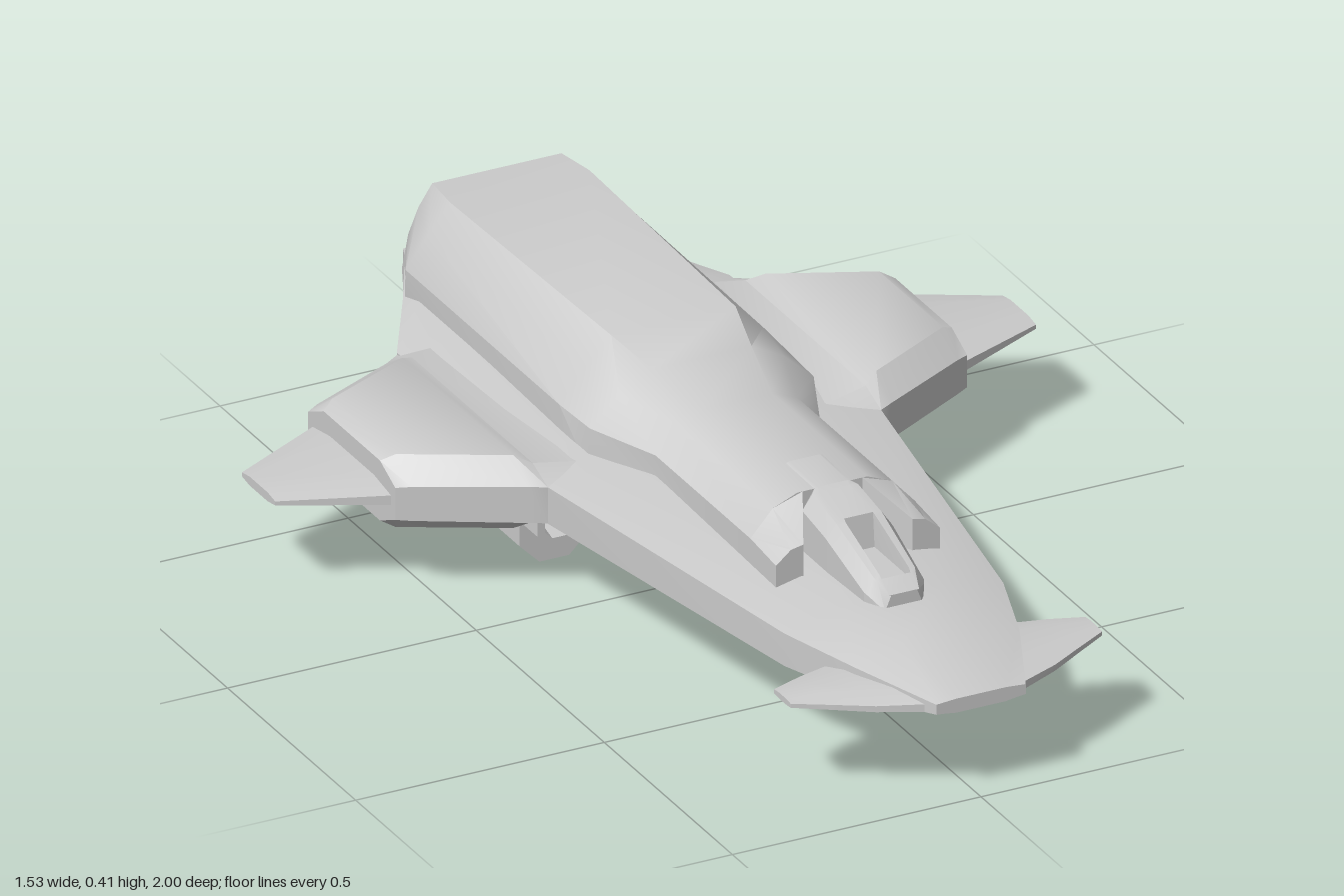
import * as THREE from 'three';
import { toCreasedNormals } from 'three/addons/utils/BufferGeometryUtils.js';

const material = new THREE.MeshStandardMaterial({ color: 0xcccccc });

// Closed skin through rings of [x, y, z] points, capped at both ends and wound outward.
function loft(name, rings, crease = 0.6) {
  const n = rings[0].length, tris = [];
  const centre = (r) => [0, 1, 2].map((k) => r.reduce((s, p) => s + p[k], 0) / n);
  const first = rings[0], last = rings[rings.length - 1];
  const c0 = centre(first), c1 = centre(last);
  for (let j = 0; j < n; j++) {
    const k = (j + 1) % n;
    for (let i = 0; i < rings.length - 1; i++) {
      const a = rings[i], b = rings[i + 1];
      tris.push([a[j], b[j], b[k]], [a[j], b[k], a[k]]);
    }
    tris.push([c0, first[j], first[k]], [c1, last[k], last[j]]);
  }
  const v = (p) => new THREE.Vector3(...p);
  const volume = tris.reduce((s, [a, b, c]) => s + v(a).dot(v(b).cross(v(c))), 0);
  if (volume < 0) tris.forEach((t) => t.reverse());
  const geo = new THREE.BufferGeometry();
  geo.setAttribute('position', new THREE.Float32BufferAttribute(tris.flat(2), 3));
  const mesh = new THREE.Mesh(toCreasedNormals(geo, crease), material);
  mesh.name = name;
  return mesh;
}

// Symmetric ring at z from right-hand points [x, y, zOffset], listed top to bottom.
const ring = (z, half) => [
  ...half.map(([x, y, dz = 0]) => [x, y, z + dz]),
  ...half.map(([x, y, dz = 0]) => [-x, y, z + dz]).reverse(),
];

const flip = (rings, s) => rings.map((r) => r.map(([x, y, z]) => [x * s, y, z]));

// Chamfered wing section at x: front z, rear z, edge and middle half-thickness, chamfer length.
const wingRing = (x, zf, zr, edge, mid, chamfer, y = 0.194) => [
  [x, y + edge, zf], [x, y + mid, zf - chamfer], [x, y + mid, zr + chamfer], [x, y + edge, zr],
  [x, y - edge, zr], [x, y - mid, zr + chamfer], [x, y - mid, zf - chamfer], [x, y - edge, zf],
];

// Pod section: chamfered lower corners, between two x values.
const podRing = (z, x0, x1, y0, y1, c) => [
  [x0, y1, z], [x1, y1, z], [x1, y0 + c, z], [x1 - c, y0, z], [x0 + c, y0, z], [x0, y0 + c, z],
];

export function createModel() {
  const ship = new THREE.Group();
  ship.name = 'spacecraft';

  // Hull, nose to tail, ending in a recessed exhaust
  ship.add(loft('hull', [
    ring(1.0, [[0.05, 0.208], [0.09, 0.205], [0.09, 0.185], [0.07, 0.183], [0.05, 0.18]]),
    ring(0.83, [[0.07, 0.25], [0.165, 0.22], [0.165, 0.165], [0.12, 0.14], [0.09, 0.133]]),
    ring(0.66, [[0.1, 0.252], [0.22, 0.225], [0.22, 0.16], [0.16, 0.138], [0.1, 0.132]]),
    ring(-0.04, [[0.18, 0.255], [0.335, 0.23], [0.335, 0.157], [0.19, 0.135], [0.1, 0.13]]),
    ring(-0.15, [[0.19, 0.26], [0.335, 0.23], [0.335, 0.157], [0.17, 0.12], [0.08, 0.11]]),
    ring(-0.55, [[0.2, 0.27], [0.335, 0.235], [0.335, 0.157], [0.145, 0.1], [0.07, 0.012]]),
    ring(-0.63, [[0.2, 0.27], [0.335, 0.235], [0.335, 0.157], [0.145, 0.1], [0.07, 0.03]]),
    ring(-0.8, [[0.18, 0.275], [0.235, 0.245], [0.235, 0.16], [0.14, 0.115], [0.08, 0.08]]),
    ring(-0.93, [[0.13, 0.272], [0.165, 0.245], [0.165, 0.16], [0.13, 0.13], [0.1, 0.12]]),
    ring(-0.96, [[0.115, 0.252], [0.15, 0.235], [0.15, 0.16], [0.13, 0.145], [0.11, 0.138]]),
    ring(-0.96, [[0.1, 0.235], [0.115, 0.228], [0.115, 0.168], [0.11, 0.16], [0.1, 0.155]]),
    ring(-0.9, [[0.1, 0.235], [0.115, 0.228], [0.115, 0.168], [0.11, 0.16], [0.1, 0.155]]),
  ]));

  // Raised upper fuselage
  ship.add(loft('upperFuselage', [
    ring(0.42, [[0.07, 0.365], [0.12, 0.345], [0.165, 0.295], [0.165, 0.22]]),
    ring(0.05, [[0.07, 0.365], [0.12, 0.345], [0.165, 0.295], [0.165, 0.22]]),
    ring(-0.09, [[0.1, 0.39], [0.165, 0.355], [0.225, 0.3], [0.23, 0.22]]),
    ring(-0.2, [[0.125, 0.414], [0.18, 0.36], [0.23, 0.3], [0.232, 0.22]]),
    ring(-0.8, [[0.14, 0.414], [0.185, 0.36], [0.23, 0.3], [0.232, 0.22]]),
    ring(-0.89, [[0.13, 0.41], [0.15, 0.36, -0.015], [0.16, 0.3, -0.035], [0.16, 0.22, -0.06]]),
  ]));

  // Canopy with a sunken cockpit slot: [z, width, top, slot floor]
  const canopy = [
    [0.7, 0.038, 0.275, 0.275], [0.67, 0.055, 0.295, 0.295], [0.66, 0.06, 0.3, 0.283],
    [0.53, 0.066, 0.345, 0.283], [0.52, 0.066, 0.348, 0.348], [0.43, 0.066, 0.362, 0.362],
    [0.42, 0.052, 0.367, 0.367], [0.31, 0.052, 0.369, 0.369],
  ];
  ship.add(loft('canopy', canopy.map(([z, w, top, floor]) => ring(z, [
    [0.028, floor], [0.03, top], [w * 0.7, top - 0.002], [w, top - 0.03], [w, 0.22],
  ])), 0.4));

  // Rib on the rear of the fuselage
  ship.add(loft('tailRib', [
    ring(-0.87, [[0.035, 0.365], [0.035, 0.25]]),
    ring(-0.92, [[0.035, 0.355], [0.035, 0.25, -0.025]]),
  ], 0.3));

  // Upright vanes across the exhaust
  for (let i = -2; i <= 2; i++) {
    const vane = new THREE.Mesh(new THREE.BoxGeometry(0.012, 0.08, 0.05), material);
    vane.name = 'exhaustVane';
    vane.position.set(i * 0.038, 0.195, -0.925);
    ship.add(vane);
  }

  for (const s of [1, -1]) {
    const side = new THREE.Group();
    side.name = s > 0 ? 'leftSide' : 'rightSide';
    const add = (name, rings, crease) => side.add(loft(name, flip(rings, s), crease));

    // Fuselage cheek beside the canopy
    add('cheek', [
      [[0.11, 0.315, 0.52], [0.135, 0.31, 0.52], [0.165, 0.285, 0.52], [0.165, 0.22, 0.52], [0.11, 0.22, 0.52]],
      [[0.06, 0.365, 0.42], [0.12, 0.345, 0.42], [0.165, 0.295, 0.42], [0.165, 0.22, 0.42], [0.06, 0.22, 0.42]],
    ]);

    // Thick inner wing and thin outer wing
    add('innerWing', [
      wingRing(0.24, -0.02, -0.68, 0.03, 0.05, 0.06),
      wingRing(0.335, -0.04, -0.63, 0.036, 0.058, 0.06),
      wingRing(0.365, -0.057, -0.61, 0.036, 0.073, 0.06),
      wingRing(0.55, -0.157, -0.525, 0.034, 0.073, 0.06),
      wingRing(0.575, -0.17, -0.51, 0.032, 0.06, 0.06),
    ], 0.5);
    add('outerWing', [
      wingRing(0.56, -0.18, -0.5, 0.01, 0.022, 0.07),
      wingRing(0.765, -0.27, -0.4, 0.004, 0.009, 0.03),
    ], 0.3);

    // Small nose fin
    add('noseFin', [
      wingRing(0.08, 0.985, 0.7, 0.008, 0.02, 0.06, 0.19),
      wingRing(0.18, 0.94, 0.755, 0.006, 0.016, 0.05, 0.19),
      wingRing(0.25, 0.9, 0.775, 0.005, 0.012, 0.04, 0.192),
      wingRing(0.313, 0.865, 0.8, 0.004, 0.006, 0.02, 0.194),
    ], 0.3);

    // Engine pod with a stepped, hollow intake
    add('enginePod', [
      podRing(-0.21, 0.21, 0.28, 0.08, 0.12, 0.01),
      podRing(-0.13, 0.195, 0.295, 0.075, 0.14, 0.015),
      podRing(-0.13, 0.18, 0.31, 0.065, 0.15, 0.02),
      podRing(-0.19, 0.175, 0.315, 0.055, 0.15, 0.035),
      podRing(-0.19, 0.175, 0.315, 0.0, 0.15, 0.04),
      podRing(-0.58, 0.175, 0.315, 0.0, 0.15, 0.04),
      podRing(-0.62, 0.185, 0.305, 0.004, 0.15, 0.04),
      podRing(-0.65, 0.205, 0.285, 0.05, 0.14, 0.03),
    ]);

    // Exhaust side prong
    add('exhaustProng', [
      [[0.11, 0.24, -0.94], [0.158, 0.24, -0.94], [0.158, 0.15, -0.94], [0.11, 0.15, -0.94]],
      [[0.12, 0.23, -1], [0.132, 0.23, -1], [0.132, 0.165, -1], [0.12, 0.165, -1]],
    ], 0.3);
    ship.add(side);
  }
  return ship;
}
